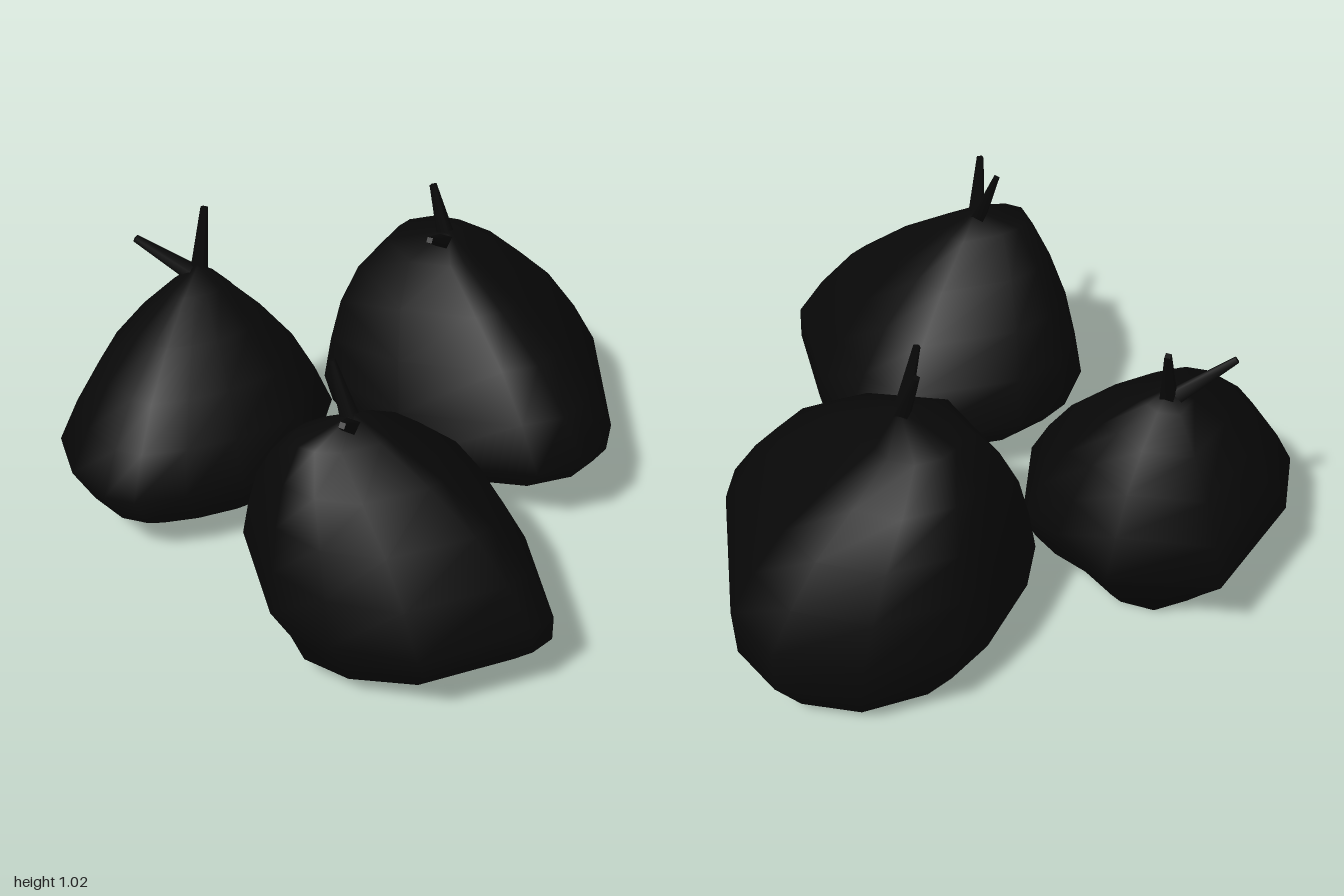
import * as THREE from 'three';

const black = new THREE.MeshStandardMaterial({ color: 0x080808 });
const BELLY = 0.28; // height of the widest section

// Shared shoulder curve: [height from belly to crown, remaining width]
const SHOULDER = [[0, 1], [0.25, 0.87], [0.5, 0.7], [0.72, 0.46], [0.9, 0.2]];

// Lofted lumpy body. The plan outline [x, z] is fitted to each level
// [y, x0, x1, z0, z1]: the underside levels, then shoulders closing on the crown.
// A lower left or back power makes that side swell more.
function bodyGeometry(outline, underside, crown, leftPower, backPower) {
  const plan = new THREE.Box2().setFromPoints(outline.map(([x, z]) => new THREE.Vector2(x, z)));
  const { min, max } = plan;
  const [cx, cy, cz] = crown;
  const shoulders = SHOULDER.map(([t, w]) => [
    BELLY + t * (cy - BELLY),
    cx + (min.x - cx) * w ** leftPower,
    cx + (max.x - cx) * w,
    cz + (min.y - cz) * w ** backPower,
    cz + (max.y - cz) * w,
  ]);
  const levels = [...underside, ...shoulders];
  const pos = [];
  for (const [y, x0, x1, z0, z1] of levels) {
    for (const [x, z] of outline) {
      pos.push(
        THREE.MathUtils.mapLinear(x, min.x, max.x, x0, x1),
        y,
        THREE.MathUtils.mapLinear(z, min.y, max.y, z0, z1),
      );
    }
  }

  // Centre points closing the base and the crown
  const [y, x0, x1, z0, z1] = levels[0];
  pos.push((x0 + x1) / 2, y, (z0 + z1) / 2, ...crown);

  const n = outline.length;
  const bottom = levels.length * n;
  const last = bottom - n;
  const index = [];
  for (let i = 0; i < n; i++) {
    const j = (i + 1) % n;
    for (let r = 0; r < last; r += n) {
      index.push(r + j, r + i, r + n + i, r + j, r + n + i, r + n + j);
    }
    index.push(bottom, i, j, bottom + 1, last + j, last + i);
  }
  const g = new THREE.BufferGeometry();
  g.setAttribute('position', new THREE.Float32BufferAttribute(pos, 3));
  g.setIndex(index);
  g.computeVertexNormals();
  return g;
}

// Tapered four-sided prong running from the crown to its tip
function makeProng(base, tip) {
  const dir = tip.clone().sub(base);
  const prong = new THREE.Mesh(new THREE.CylinderGeometry(0.013, 0.034, dir.length(), 4), black);
  prong.name = 'stalkProng';
  prong.position.copy(base).addScaledVector(dir, 0.5);
  prong.quaternion.setFromUnitVectors(new THREE.Vector3(0, 1, 0), dir.normalize());
  return prong;
}

function makeFruit({ name, outline, underside, crown, leftPower = 1, backPower = 1, prongs }) {
  const fruit = new THREE.Group();
  fruit.name = name;
  const body = new THREE.Mesh(bodyGeometry(outline, underside, crown, leftPower, backPower), black);
  body.name = 'body';
  fruit.add(body);
  const base = new THREE.Vector3(...crown);
  base.y -= 0.05;
  for (const tip of prongs) fruit.add(makeProng(base, new THREE.Vector3(...tip)));
  return fruit;
}

export function createModel() {
  const model = new THREE.Group();
  model.name = 'fruitCluster';

  model.add(makeFruit({
    name: 'backFruit',
    outline: [[-0.43, -1], [-0.13, -0.8], [-0.09, -0.55], [-0.03, -0.42], [-0.22, -0.12], [-0.48, -0.07],
      [-0.68, -0.07], [-0.85, -0.1], [-0.93, -0.17], [-0.99, -0.34], [-0.97, -0.55], [-0.82, -0.76]],
    underside: [[0, -0.5, -0.25, -0.74, -0.35], [0.08, -0.82, -0.15, -0.82, -0.2], [0.16, -0.92, -0.09, -0.89, -0.11]],
    crown: [-0.43, 0.81, -0.62],
    prongs: [[-0.62, 0.91, -0.7], [-0.38, 0.99, -0.68]],
  }));

  model.add(makeFruit({
    name: 'leftFruit',
    outline: [[0, -0.57], [0.25, -0.79], [0.42, -0.88], [0.73, -0.85], [0.95, -0.66], [0.99, -0.43],
      [0.8, 0.09], [0.72, 0.21], [0.61, 0.27], [0.44, 0.26], [0.05, 0]],
    underside: [[0, 0.29, 0.63, -0.7, -0.3], [0.04, 0.2, 0.89, -0.8, -0.1], [0.15, 0.04, 0.99, -0.87, 0.15]],
    crown: [0.4, 0.87, -0.42],
    leftPower: 0.5,
    backPower: 0.5,
    prongs: [[0.26, 0.95, -0.25], [0.37, 1.02, -0.48]],
  }));

  model.add(makeFruit({
    name: 'frontFruit',
    outline: [[-0.43, 0.04], [-0.24, 0], [0.18, 0.09], [0.27, 0.3], [0.26, 0.55], [0.17, 0.95],
      [0.08, 0.99], [-0.3, 0.99], [-0.52, 0.82], [-0.63, 0.6], [-0.57, 0.18]],
    underside: [[0, -0.43, -0.05, 0.42, 0.55], [0.08, -0.53, 0.24, 0.24, 0.87], [0.18, -0.57, 0.27, 0.07, 0.97]],
    crown: [-0.3, 0.86, 0.47],
    leftPower: 0.35,
    prongs: [[-0.4, 0.95, 0.64], [-0.34, 1.02, 0.4]],
  }));

  return model;
}
